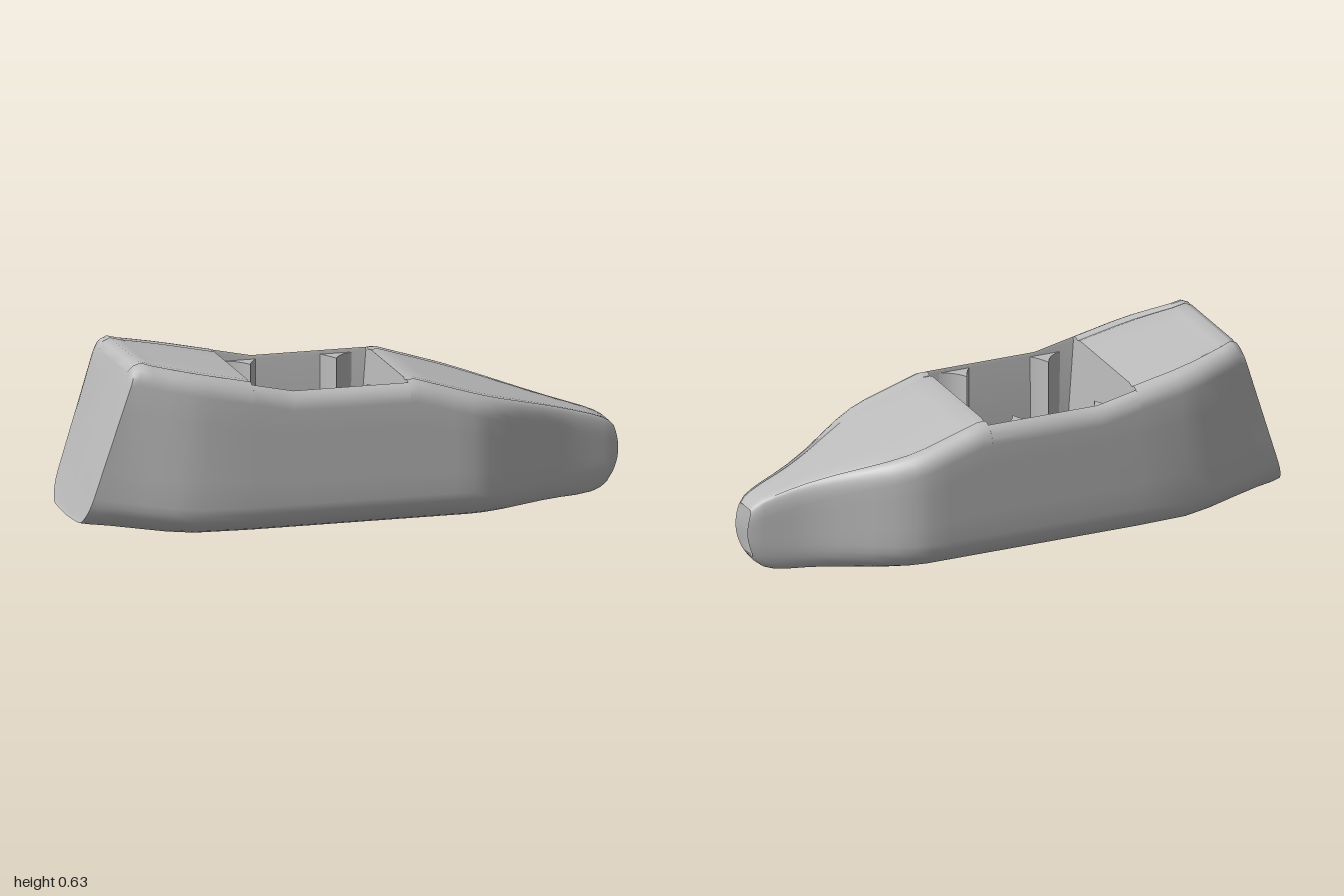
import * as THREE from 'three';
import { toCreasedNormals } from 'three/addons/utils/BufferGeometryUtils.js';

const FLOOR = 0.05;

// Half width of the hull along its length
const WIDTHS = [[-1, 0.21], [-0.97, 0.222], [-0.85, 0.24], [-0.75, 0.265], [-0.65, 0.292], [-0.58, 0.302],
  [0.4, 0.302], [0.46, 0.291], [0.53, 0.26], [0.6, 0.217], [0.7, 0.155], [0.78, 0.115], [0.84, 0.095],
  [0.9, 0.08], [0.95, 0.067], [1, 0.055]];

function halfWidth(x) {
  if (x <= -1) return WIDTHS[0][1];
  for (let i = 1; i < WIDTHS.length; i++) {
    const [x0, w0] = WIDTHS[i - 1], [x1, w1] = WIDTHS[i];
    if (x <= x1) return w0 + (w1 - w0) * (x - x0) / (x1 - x0);
  }
  return WIDTHS[WIDTHS.length - 1][1];
}

const deckHeight = (x) => 0.515 - (x > 0.2 ? (x - 0.2) * 0.315 : 0) + (x < -0.25 ? (-0.25 - x) * 0.214 : 0);

// Stations: bottom x, top x, bottom y, top y, width factor, forward bulge,
// and the floor shift where the cockpit is open
function stations() {
  const list = [
    [-0.995, -0.83, 0.058, 0.6, 0, 0],
    [-0.995, -0.83, 0.058, 0.6, 0.93, 0],
    [-1, -0.815, 0.05, 0.624, 1, 0],
    [-0.97, -0.79, 0.046, 0.634, 1, 0],
    [-0.9, -0.75, 0.038, 0.622, 1, 0],
    [-0.8, -0.69, 0.024, 0.609, 1, 0],
    [-0.7, -0.62, 0.011, 0.594, 1, 0],
    [-0.6, -0.55, 0.003, 0.579, 1, 0],
    [-0.4, -0.4, 0, deckHeight(-0.4), 1, 0],
    [-0.4, -0.4, 0, deckHeight(-0.4), 1, 0, 0.035],
  ];
  for (const x of [-0.3, -0.25, -0.1, 0.05]) list.push([x, x, 0, deckHeight(x), 1, 0, 0]);
  list.push([0.17, 0.17, 0, 0.515, 1, 0, -0.035]);
  for (const x of [0.17, 0.2, 0.26, 0.33, 0.4, 0.46, 0.53, 0.6, 0.7, 0.78, 0.84]) {
    list.push([x, x, 0, deckHeight(x), 1, 0]);
  }
  // Rounded bow that folds back into an upright notch
  list.push([0.9, 0.9, 0.006, 0.294, 1, 0], [0.935, 0.94, 0.018, 0.278, 1, 0.004],
    [0.957, 0.967, 0.036, 0.262, 1, 0.01], [0.972, 0.985, 0.058, 0.243, 0.9, 0.021],
    [0.965, 0.95, 0.058, 0.243, 0, 0]);
  return list;
}

// Half section from keel to deck centre, as [z at full beam, y, on the floor]
function halfSection(b, t, open) {
  const h = t - b, rb = Math.min(0.1, h * 0.36), rt = Math.min(0.07, h * 0.25);
  const pts = [[0, b], [0.1, b + 0.02 * rb]];
  for (let i = 0; i <= 6; i++) {
    const a = i / 6 * Math.PI / 2;
    pts.push([0.2 + 0.1 * Math.sin(a), b + 0.06 * rb + rb * (1 - Math.cos(a))]);
  }
  for (const f of [0.25, 0.5, 0.75]) pts.push([0.3, b + rb * 1.06 + (h - rb * 1.06 - rt) * f]);
  // the rim stops short at the cockpit sill
  const sweep = open ? Math.acos(0.4) : Math.PI / 2;
  for (let i = 0; i <= 6; i++) {
    const a = i / 6 * sweep;
    pts.push([0.237 + 0.063 * Math.cos(a), t - rt + rt * Math.sin(a)]);
  }
  if (open) pts.push([0.259, t - 0.018], [0.256, FLOOR, true], [0.1, FLOOR, true], [0, FLOOR, true]);
  else pts.push([0.225, t - 0.014 * h], [0.205, t], [0.1, t], [0, t]);
  return pts;
}

function hullGeometry() {
  const rows = stations().map(([xb, xt, b, t, factor, bulge, shift]) => {
    const half = halfSection(b, t, shift !== undefined);
    const place = ([z, y, onFloor], side) => {
      const f = (y - b) / (t - b);
      const x = xb + (xt - xb) * f + bulge * Math.sin(Math.PI * f);
      return [x + (onFloor ? shift : 0), y, side * z / 0.3 * halfWidth(x) * factor];
    };
    return [...half.map((p) => place(p, 1)), ...half.slice(0, -1).reverse().map((p) => place(p, -1))];
  });
  const n = rows[0].length, index = [];
  for (let i = 0; i < rows.length - 1; i++) {
    for (let j = 0; j < n - 1; j++) {
      const a = i * n + j, c = a + n;
      index.push(a, c, a + 1, a + 1, c, c + 1);
    }
  }
  const g = new THREE.BufferGeometry();
  g.setAttribute('position', new THREE.Float32BufferAttribute(rows.flat(2), 3));
  g.setIndex(index);
  return toCreasedNormals(g, 0.85);
}

// Upright cockpit rib: curved on its outer flank, nearly straight on the other
function ribGeometry(end, side) {
  const X = (d) => -0.115 + end * d;
  const s = new THREE.Shape();
  s.moveTo(X(0.25), side * 0.264);
  s.quadraticCurveTo(X(0.185), side * 0.255, X(0.157), side * 0.19);
  s.quadraticCurveTo(X(0.14), side * 0.235, X(0.115), side * 0.264);
  const g = new THREE.ExtrudeGeometry(s, { depth: 0.495 - FLOOR, bevelEnabled: false, curveSegments: 8 });
  g.rotateX(-Math.PI / 2);
  g.translate(0, FLOOR, 0);
  return toCreasedNormals(g, 0.6);
}

export function createModel() {
  const model = new THREE.Group();
  const grey = new THREE.MeshStandardMaterial({ color: 0xbcbcbc });
  grey.name = 'hull grey';
  const add = (name, geometry) => {
    const mesh = new THREE.Mesh(geometry, grey);
    mesh.name = name;
    model.add(mesh);
  };
  add('hull', hullGeometry());
  for (const end of [-1, 1]) {
    for (const side of [-1, 1]) add('cockpitRib', ribGeometry(end, side));
  }
  return model;
}
